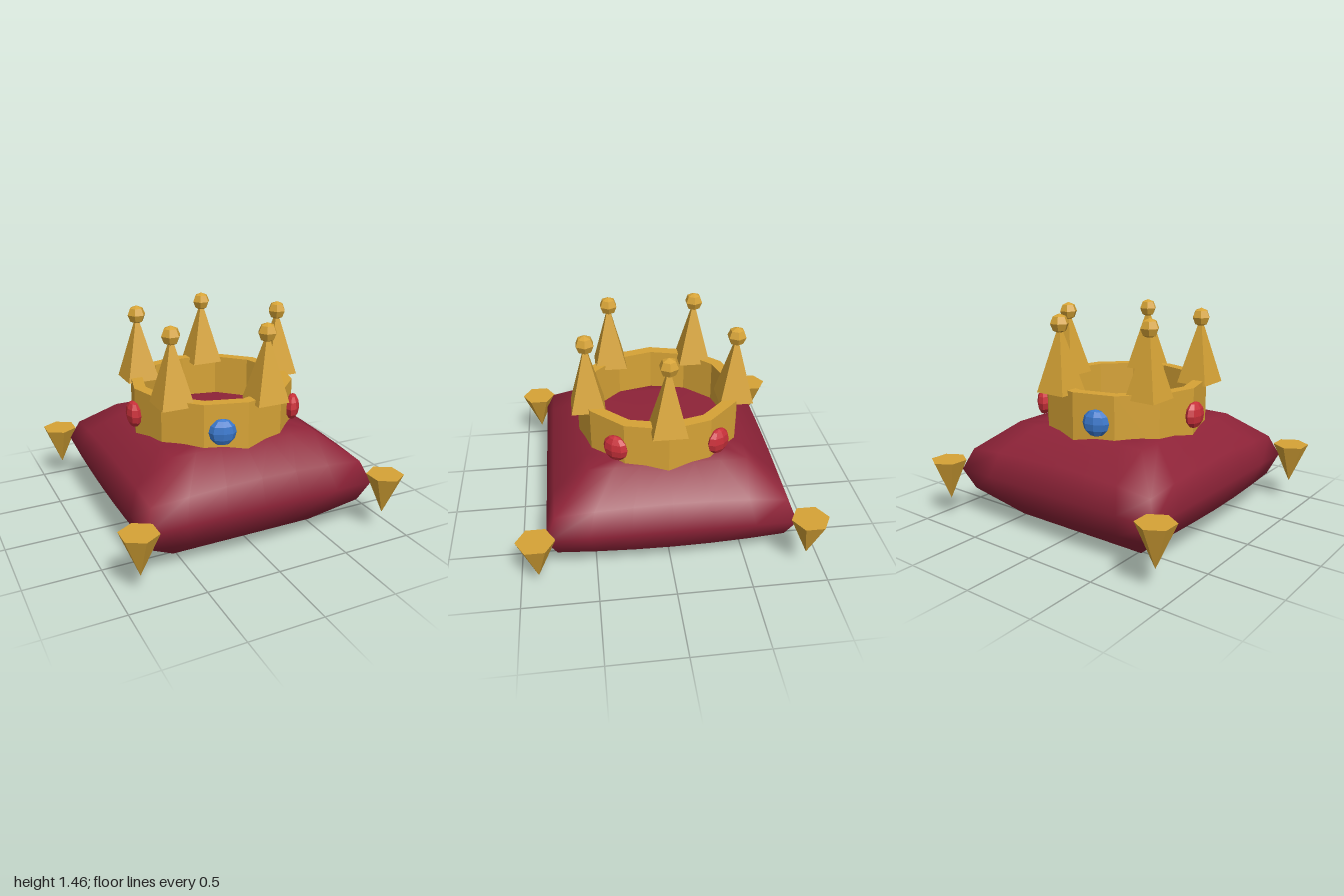
import * as THREE from 'three';

const material = (name, color) => Object.assign(new THREE.MeshStandardMaterial({ color }), { name });

// Gives every face its own flat normal
function faceted(geometry) {
  const g = geometry.index ? geometry.toNonIndexed() : geometry;
  g.computeVertexNormals();
  return g;
}

// Pillow skin: square loops stacked from the underside to the top, smoothly shaded
function cushionGeometry() {
  const levels = [ // half width, height, lift of corners towards the seam
    [0, 0, 0], [0.3, 0, 0], [0.52, 0, 0], [0.75, 0.18, 0.2], [0.81, 0.36, 0],
    [0.75, 0.54, 0.2], [0.52, 0.69, 0], [0.4, 0.7, 0], [0, 0.7, 0],
  ];
  const perSide = 6, count = perSide * 4;
  const positions = [], index = [];
  for (const [h, y, lift] of levels) {
    for (let i = 0; i < count; i++) {
      const side = Math.floor(i / perSide);
      const t = (i % perSide) / perSide * 2 - 1;
      const a = side * Math.PI / 2;
      const x = h * (t * Math.cos(a) + Math.sin(a));
      const z = h * (Math.cos(a) - t * Math.sin(a));
      positions.push(x, y + (0.36 - y) * lift * t * t, z);
    }
  }
  for (let j = 0; j < levels.length - 1; j++) {
    for (let i = 0; i < count; i++) {
      const a = j * count + i, b = j * count + (i + 1) % count;
      const c = a + count, d = b + count;
      if (levels[j][0] > 0) index.push(a, b, d);
      if (levels[j + 1][0] > 0) index.push(a, d, c);
      else if (levels[j][0] > 0) index.push(b, d, c).valueOf();
    }
  }
  // Keep only whole triangles that have area
  const clean = [];
  const key = (k) => positions.slice(k * 3, k * 3 + 3).map((v) => v.toFixed(5)).join();
  for (let k = 0; k < index.length; k += 3) {
    const tri = index.slice(k, k + 3);
    if (new Set(tri.map(key)).size === 3) clean.push(...tri);
  }
  const g = new THREE.BufferGeometry();
  g.setAttribute('position', new THREE.Float32BufferAttribute(positions, 3));
  g.setIndex(clean);
  g.computeVertexNormals();
  return g;
}

export function createModel() {
  const gold = material('gold', 0xd6a336);
  const velvet = material('crimson velvet', 0x8e2338);
  const ruby = material('ruby red', 0xc9303a);
  const sapphire = material('sapphire blue', 0x3a78cc);

  const model = new THREE.Group();
  model.name = 'crownOnCushion';
  const add = (parent, name, geometry, mat, x = 0, y = 0, z = 0) => {
    const mesh = new THREE.Mesh(geometry, mat);
    mesh.name = name;
    mesh.position.set(x, y, z);
    parent.add(mesh);
    return mesh;
  };

  add(model, 'cushion', cushionGeometry(), velvet);

  // Hanging corner tassels
  const tasselGeometry = faceted(new THREE.ConeGeometry(0.125, 0.285, 6).rotateX(Math.PI));
  for (const x of [-0.873, 0.873]) {
    for (const z of [-0.873, 0.873]) add(model, 'cornerTassel', tasselGeometry, gold, x, 0.293, z);
  }

  // Twelve-sided crown band
  const crown = new THREE.Group();
  crown.name = 'crown';
  model.add(crown);
  const profile = [[0.48, 0.6], [0.56, 0.6], [0.56, 0.983], [0.48, 0.983], [0.48, 0.6]]
    .map(([r, y]) => new THREE.Vector2(r, y));
  add(crown, 'band', faceted(new THREE.LatheGeometry(profile, 12)), gold);

  // Five spikes topped with balls, and five gems set between them
  const spikeGeometry = faceted(new THREE.ConeGeometry(0.158, 0.46, 4).rotateY(Math.PI / 4));
  const ballGeometry = faceted(new THREE.SphereGeometry(0.064, 6, 4));
  const gemGeometry = faceted(new THREE.SphereGeometry(0.09, 8, 6).scale(1, 1, 0.55));
  const gemMaterials = [ruby, sapphire, ruby, sapphire, ruby];
  for (let i = 0; i < 5; i++) {
    const a = i * Math.PI * 2 / 5;
    const x = 0.515 * Math.cos(a), z = 0.515 * Math.sin(a);
    add(crown, 'spike', spikeGeometry, gold, x, 1.18, z);
    add(crown, 'spikeBall', ballGeometry, gold, x, 1.4, z);

    const b = a + Math.PI / 5;
    const gem = add(crown, 'gem', gemGeometry, gemMaterials[i], 0.57 * Math.cos(b), 0.805, 0.57 * Math.sin(b));
    gem.rotation.y = Math.PI / 2 - b;
  }
  return model;
}
